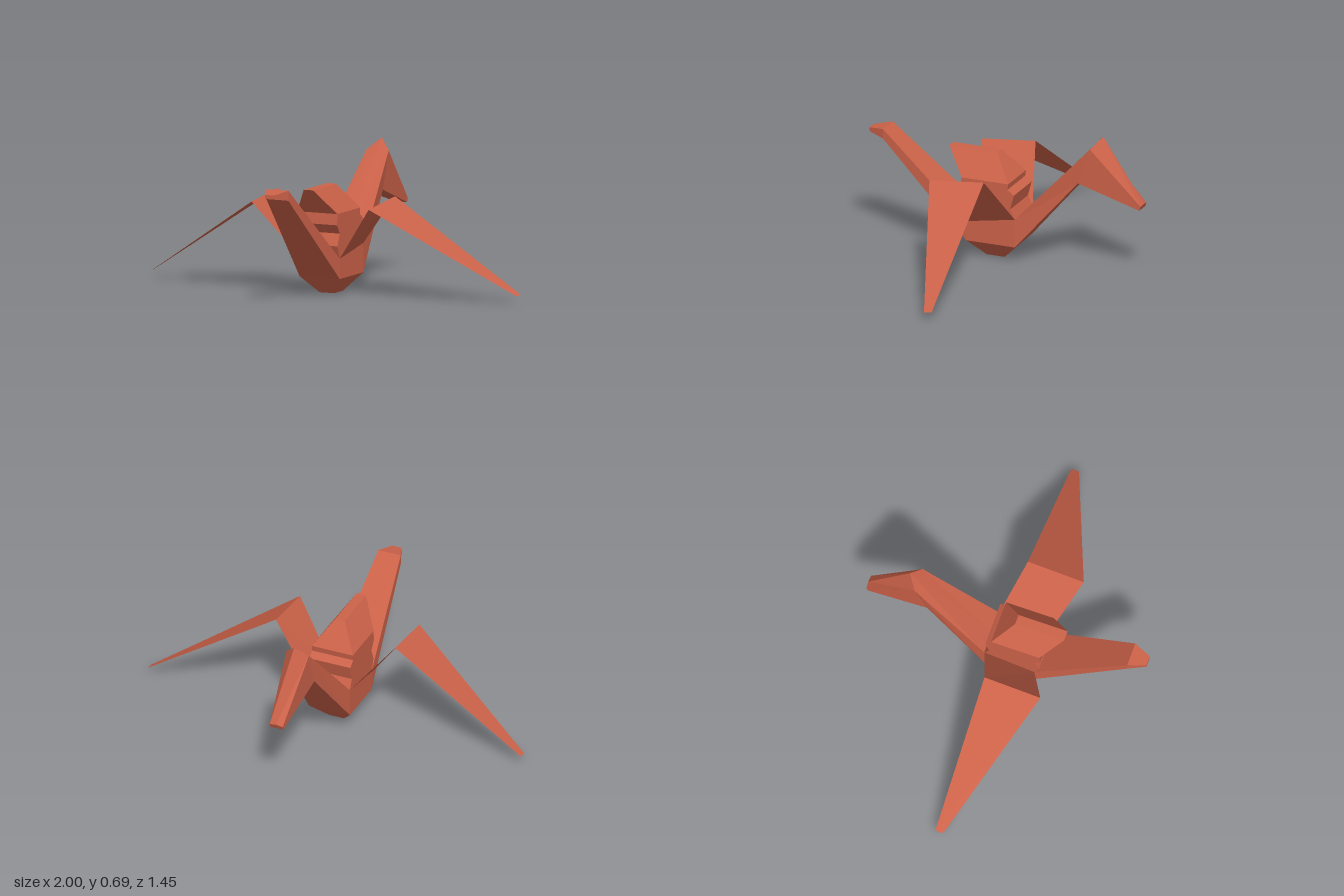
import * as THREE from 'three';

const paper = new THREE.MeshStandardMaterial({ color: 0xcc6249, flatShading: true });
const sheet = paper.clone();
sheet.side = THREE.DoubleSide;

// Cross-section from two mirrored corner pairs [y, z], with an optional ridge point between the first pair
function ring(w, [y1, z1], [y2, z2], ridge) {
  const points = [[w, y1, z1], [-w, y1, z1], [-w, y2, z2], [w, y2, z2]];
  if (ridge) points.splice(1, 0, [0, ...ridge]);
  return points;
}

function meshFrom(name, triangles, material) {
  const geometry = new THREE.BufferGeometry();
  geometry.setAttribute('position', new THREE.Float32BufferAttribute(triangles.flat(), 3));
  geometry.computeVertexNormals();
  const mesh = new THREE.Mesh(geometry, material);
  mesh.name = name;
  return mesh;
}

// Closed faceted solid through a list of cross-sections
function loft(name, rings) {
  const tris = [];
  const n = rings[0].length;
  for (let r = 0; r < rings.length - 1; r++) {
    const low = rings[r], up = rings[r + 1];
    for (let i = 0; i < n; i++) {
      const j = (i + 1) % n;
      tris.push(low[j], low[i], up[i], low[j], up[i], up[j]);
    }
  }
  const first = rings[0], last = rings[rings.length - 1];
  for (let k = 1; k < n - 1; k++) {
    tris.push(first[0], first[k], first[k + 1]);
    tris.push(last[0], last[k + 1], last[k]);
  }
  return meshFrom(name, tris, paper);
}

// Thin folded wing: each row is a [front, back] pair of points
function wing(name, side) {
  const rows = [
    [[0.11, 0.185, 0.175], [0.11, 0.23, -0.085]],
    [[0.32, 0.455, 0.28], [0.32, 0.485, -0.01]],
    [[1, 0.035, 0.015], [1, 0.04, -0.025]],
  ].map(row => row.map(([x, y, z]) => [x * side, y, z]));
  const tris = [];
  for (let i = 0; i < 2; i++) {
    const [a, b] = rows[i], [c, d] = rows[i + 1];
    if (side > 0) tris.push(a, c, d, a, d, b);
    else tris.push(a, d, c, a, b, d);
  }
  return meshFrom(name, tris, sheet);
}

export function createModel() {
  const model = new THREE.Group();
  model.name = 'foldedPaperBird';

  // Keel and body, corners given as front then back
  model.add(loft('body', [
    ring(0.04, [0, 0.095], [0, 0]),
    ring(0.11, [0.085, 0.175], [0.085, -0.085]),
    ring(0.11, [0.185, 0.175], [0.23, -0.085]),
  ]));

  // Pleated back rising to a narrow ridge
  model.add(loft('pleatedBack', [
    ring(0.11, [0.185, 0.175], [0.23, -0.085]),
    ring(0.11, [0.25, 0.2], [0.28, -0.06]),
    ring(0.11, [0.31, 0.175], [0.355, -0.08]),
    ring(0.11, [0.355, 0.205], [0.38, -0.045]),
    ring(0.11, [0.41, 0.2], [0.41, -0.05]),
    ring(0.025, [0.535, 0.3], [0.535, 0.045]),
  ]));

  // Tail, corners given as bottom then top
  model.add(loft('tail', [
    ring(0.11, [0.085, 0.175], [0.185, 0.175]),
    ring(0.06, [0.53, 0.64], [0.58, 0.64]),
    ring(0.025, [0.545, 0.727], [0.565, 0.727]),
  ]));

  // Neck and ridged head, corners given as top then bottom
  model.add(loft('neckAndHead', [
    ring(0.11, [0.23, -0.085], [0.085, -0.085], [0.23, -0.085]),
    ring(0.06, [0.635, -0.465], [0.45, -0.4], [0.69, -0.51]),
    ring(0.035, [0.365, -0.725], [0.345, -0.717], [0.372, -0.727]),
  ]));

  model.add(wing('leftWing', 1), wing('rightWing', -1));
  return model;
}
